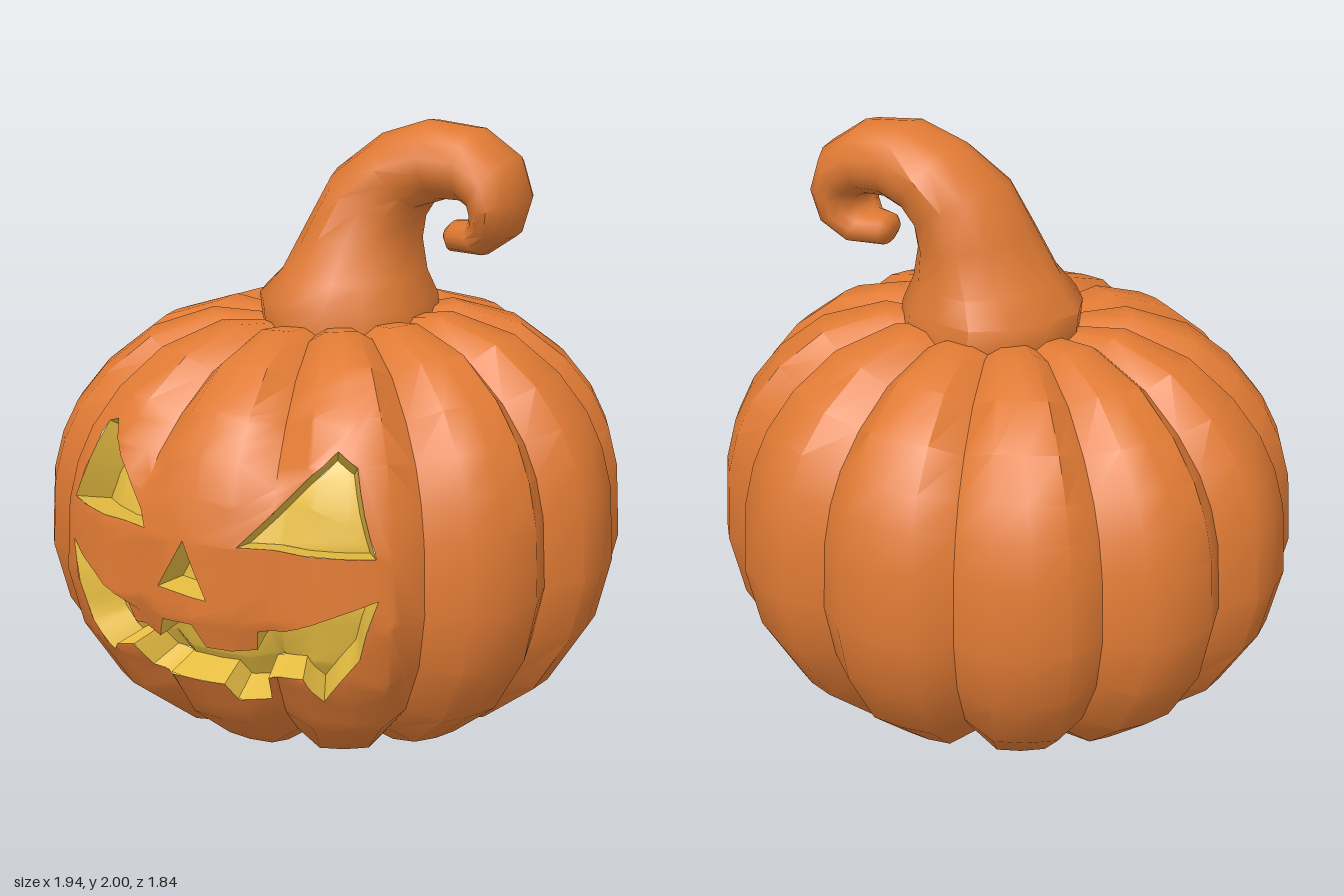
import * as THREE from 'three';
import { toCreasedNormals } from 'three/addons/utils/BufferGeometryUtils.js';

const rind = new THREE.MeshStandardMaterial({ color: 0xe07a34 });
rind.name = 'pumpkin orange';
const glow = new THREE.MeshStandardMaterial({ color: 0xe8be42 });
glow.name = 'candle yellow';

// Body profile as [radius, height], from the bottom centre to the top centre
const PROFILE = [[0, 0.02], [0.3, 0.015], [0.47, 0], [0.63, 0.055], [0.82, 0.2], [0.95, 0.4], [1, 0.6],
  [0.985, 0.84], [0.95, 0.97], [0.895, 1.08], [0.795, 1.2], [0.64, 1.315], [0.42, 1.38], [0.2, 1.355], [0, 1.34]];
const RIBS = 12, COLS = RIBS * 4, ROWS = PROFILE.length - 1;
const CORE = new THREE.Vector3(0, 0.65, 0);
// Part of the grid that holds the carved face
const FACE = { u0: -6, u1: 6, v0: 4, v1: 11 };

// Carved openings as [x, y] outlines
const OPENINGS = {
  rightEye: [[-0.54, 0.85], [-0.2, 0.84], [-0.4, 1.115], [-0.44, 1.1]],
  leftEye: [[0.145, 0.845], [0.54, 0.83], [0.455, 1.09], [0.39, 1.13]],
  nose: [[-0.125, 0.68], [0.05, 0.665], [-0.035, 0.84]],
  mouth: [[-0.545, 0.71], [-0.28, 0.57], [-0.265, 0.505], [-0.135, 0.505], [-0.11, 0.575], [0, 0.58],
    [0.04, 0.505], [0.19, 0.51], [0.2, 0.575], [0.28, 0.585], [0.55, 0.7], [0.495, 0.505], [0.37, 0.34],
    [0.325, 0.425], [0.2, 0.4], [0.18, 0.305], [0.1, 0.315], [0.075, 0.375], [-0.13, 0.365],
    [-0.15, 0.305], [-0.25, 0.335], [-0.29, 0.415], [-0.35, 0.405], [-0.385, 0.365], [-0.465, 0.45]],
};

// Grid point of the ribbed body; u = 0 is the middle of the front rib
function gridPoint(u, v) {
  const [r, y] = PROFILE[v];
  const k = ((u % 4) + 4) % 4;
  const groove = k === 2 ? 1 : k === 0 ? 0 : 0.05;
  // Grooves fade towards both poles and on the face
  let depth = 0.08 * Math.min(1, r / 0.7);
  if (Math.abs(u) <= 2) depth -= 0.045 * Math.max(0, 1 - Math.abs(v - 7) / 3.5);
  const f = 1 - depth * groove;
  const a = (u / COLS) * Math.PI * 2;
  const x = 0.97 * r * f * Math.sin(a);
  // The body leans up a little towards its left
  return new THREE.Vector3(x, (CORE.y + (y - CORE.y) * f) * (1 + 0.03 * x), 0.92 * r * f * Math.cos(a));
}

// Body surface between grid points; scale < 1 moves it towards the core
function surface(u, v, scale = 1) {
  const v0 = Math.min(Math.max(Math.floor(v), 0), ROWS - 1), u0 = Math.floor(u);
  const low = gridPoint(u0, v0).lerp(gridPoint(u0 + 1, v0), u - u0);
  const high = gridPoint(u0, v0 + 1).lerp(gridPoint(u0 + 1, v0 + 1), u - u0);
  return low.lerp(high, v - v0).sub(CORE).multiplyScalar(scale).add(CORE);
}

// Finds the grid position seen at x, y on the front
function locate(x, y) {
  let u = x * 8, v = 7;
  for (let i = 0; i < 150; i++) {
    const p = surface(u, v);
    u = THREE.MathUtils.clamp(u + 5 * (x - p.x), FACE.u0 + 0.1, FACE.u1 - 0.1);
    v = THREE.MathUtils.clamp(v + 3 * (y - p.y), FACE.v0 + 0.1, FACE.v1 - 0.1);
  }
  return new THREE.Vector2(u, v);
}

// Outline in grid coordinates, each edge cut in four, counter-clockwise
function outline(points) {
  const loop = [];
  points.forEach(([x, y], i) => {
    const [x2, y2] = points[(i + 1) % points.length];
    for (let s = 0; s < 4; s++) loop.push(locate(x + (x2 - x) * s / 4, y + (y2 - y) * s / 4));
  });
  return THREE.ShapeUtils.isClockWise(loop) ? loop.reverse() : loop;
}

// Splits polygons along the line where the given axis equals c
function split(polygons, axis, c) {
  const result = [];
  for (const poly of polygons) for (const side of [1, -1]) {
    const part = [];
    poly.forEach((a, i) => {
      const b = poly[(i + 1) % poly.length];
      const da = side * (a[axis] - c), db = side * (b[axis] - c);
      if (da >= 0) part.push(a);
      if (da * db < 0) {
        const q = a.clone().lerp(b, da / (da - db));
        q[axis] = c;
        part.push(q);
      }
    });
    if (part.length > 2 && part.some((p) => side * (p[axis] - c) > 1e-9)) result.push(part);
  }
  return result;
}

// Triangulates an outline with holes and cuts it along the grid lines
function fill(contour, holes) {
  const all = [contour, ...holes].flat();
  let polygons = THREE.ShapeUtils.triangulateShape(contour.slice(), holes.map((h) => h.slice()))
    .map((face) => face.map((i) => all[i]))
    .map((tri) => (THREE.ShapeUtils.isClockWise(tri) ? tri.reverse() : tri));
  for (let u = FACE.u0 + 1; u < FACE.u1; u++) polygons = split(polygons, 'x', u);
  for (let v = FACE.v0 + 1; v < FACE.v1; v++) polygons = split(polygons, 'y', v);
  return polygons;
}

const onSurface = (polygons, scale) => polygons.map((poly) => poly.map((p) => surface(p.x, p.y, scale)));

// Side wall of an opening, from the rind down to the given depth
const wall = (loop, depth) => loop.map((a, i) => {
  const b = loop[(i + 1) % loop.length];
  return [surface(a.x, a.y), surface(b.x, b.y), surface(b.x, b.y, depth), surface(a.x, a.y, depth)];
});

// Mesh from convex 3D polygons, smooth up to the crease angle
function polygonMesh(name, polygons, material, crease = 0.7) {
  const pos = [];
  for (const p of polygons) {
    for (let i = 1; i < p.length - 1; i++) {
      for (const q of [p[0], p[i], p[i + 1]]) pos.push(q.x, q.y, q.z);
    }
  }
  const geometry = new THREE.BufferGeometry();
  geometry.setAttribute('position', new THREE.Float32BufferAttribute(pos, 3));
  const mesh = new THREE.Mesh(toCreasedNormals(geometry, crease), material);
  mesh.name = name;
  return mesh;
}

// Curled stem from rings: [outer x, outer y, inner x, inner y, centre z, half depth]
function createStem() {
  const rings = [[-0.25, 1.33, 0.33, 1.33, -0.03, 0.31], [-0.26, 1.42, 0.32, 1.42, -0.03, 0.31],
    [-0.18, 1.5, 0.285, 1.5, -0.03, 0.265], [-0.1, 1.66, 0.26, 1.6, -0.05, 0.23],
    [-0.02, 1.82, 0.265, 1.67, -0.07, 0.205], [0.13, 1.94, 0.29, 1.72, -0.09, 0.185],
    [0.29, 2, 0.36, 1.75, -0.1, 0.17], [0.46, 1.985, 0.43, 1.75, -0.1, 0.165],
    [0.59, 1.9, 0.46, 1.735, -0.095, 0.17], [0.635, 1.77, 0.465, 1.725, -0.09, 0.17],
    [0.6, 1.65, 0.46, 1.7, -0.1, 0.145], [0.5, 1.58, 0.44, 1.685, -0.11, 0.11],
    [0.38, 1.58, 0.38, 1.68, -0.11, 0.075], [0.36, 1.61, 0.36, 1.66, -0.11, 0.045]];
  const sides = 14;
  const point = (i, j, shrink = 1) => {
    const [ox, oy, ix, iy, z, depth] = rings[i];
    const a = (j / sides) * Math.PI * 2;
    const ridge = 1 + (i < 6 ? 0.04 * Math.cos(5 * a) : 0);
    const c = Math.cos(a) * ridge * shrink, s = Math.sin(a) * ridge * shrink;
    return new THREE.Vector3((ox + ix + (ox - ix) * c) / 2, (oy + iy + (oy - iy) * c) / 2, z + depth * s);
  };
  const polygons = [], last = rings.length - 1;
  for (let j = 0; j < sides; j++) {
    for (let i = 0; i < last; i++) {
      polygons.push([point(i, j), point(i, j + 1), point(i + 1, j + 1), point(i + 1, j)]);
    }
    polygons.push([point(last, j), point(last, j + 1), point(last, 0, 0)]);
  }
  return polygonMesh('stem', polygons, rind, 0.9);
}

export function createModel() {
  const model = new THREE.Group();
  model.name = 'carvedPumpkin';
  const loops = Object.entries(OPENINGS).map(([name, points]) => [name, outline(points)]);

  // Ribbed body around the carved face
  const { u0, u1, v0, v1 } = FACE;
  const skin = [];
  for (let u = -COLS / 2; u < COLS / 2; u++) {
    for (let v = 0; v < ROWS; v++) {
      if (u >= u0 && u < u1 && v >= v0 && v < v1) continue;
      skin.push([gridPoint(u, v), gridPoint(u + 1, v), gridPoint(u + 1, v + 1), gridPoint(u, v + 1)]);
    }
  }
  // Front panel with the openings left out
  const frame = [[u0, v0], [u1, v0], [u1, v1], [u0, v1]].map(([u, v]) => new THREE.Vector2(u, v));
  skin.push(...onSurface(fill(frame, loops.map(([, loop]) => loop)), 1));
  model.add(polygonMesh('body', skin, rind));

  // Each opening has glowing walls and a glowing back
  for (const [name, loop] of loops) {
    const opening = new THREE.Group();
    opening.name = name;
    opening.add(
      polygonMesh(name + 'Walls', wall(loop, 0.87), glow),
      polygonMesh(name + 'Back', onSurface(fill(loop, []), 0.87), glow),
    );
    model.add(opening);
  }

  model.add(createStem());
  return model;
}
